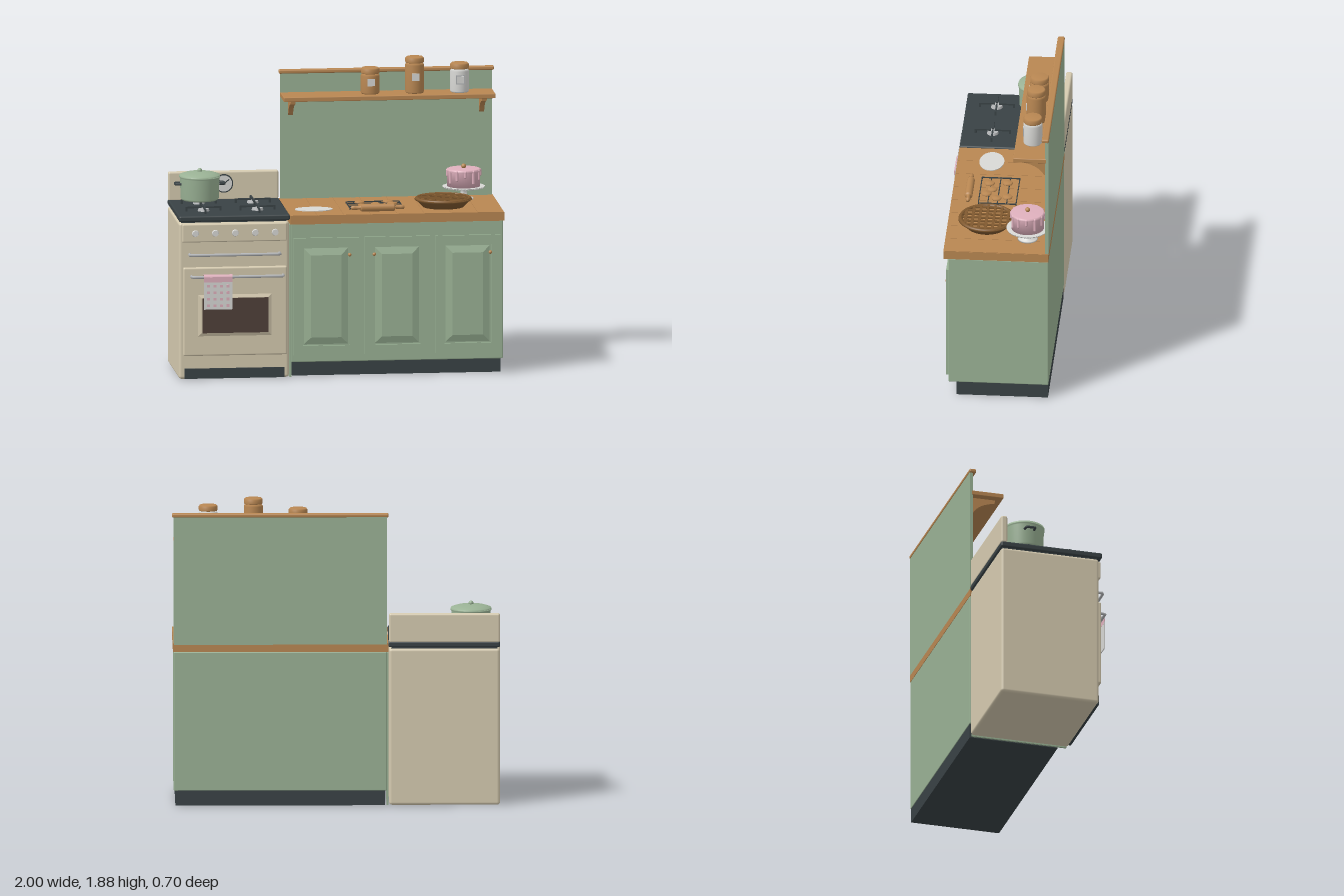
import * as THREE from 'three';
import { RoundedBoxGeometry } from 'three/addons/geometries/RoundedBoxGeometry.js';

const mat = (name, color) => {
  const m = new THREE.MeshStandardMaterial({ color });
  m.name = name;
  return m;
};

export function createModel() {
  const root = new THREE.Group();
  root.name = 'kitchen';
  const green = mat('sage green', 0x9ab295), cream = mat('cream enamel', 0xd6cbb0);
  const dark = mat('charcoal', 0x394245), wood = mat('warm wood', 0xb98752);
  const white = mat('off white', 0xd8d8d5), pink = mat('pink', 0xdfb0bd);
  const brown = mat('dark brown', 0x50403a), crust = mat('baked crust', 0x80592f);
  const steel = mat('steel', 0xb4b6b8);

  const group = (name, parent = root) => {
    const g = new THREE.Group();
    g.name = name;
    parent.add(g);
    return g;
  };
  const add = (parent, name, geo, m, x = 0, y = 0, z = 0) => {
    const mesh = new THREE.Mesh(geo, m);
    mesh.name = name;
    mesh.position.set(x, y, z);
    parent.add(mesh);
    return mesh;
  };
  // box from its extents; r rounds the edges
  const box = (parent, name, m, x0, x1, y0, y1, z0, z1, r = 0) => {
    const s = [x1 - x0, y1 - y0, z1 - z0];
    const geo = r ? new RoundedBoxGeometry(...s, 2, r) : new THREE.BoxGeometry(...s);
    return add(parent, name, geo, m, (x0 + x1) / 2, (y0 + y1) / 2, (z0 + z1) / 2);
  };
  // box whose front face is drawn in by an inset
  const bevelled = (parent, name, m, x0, x1, y0, y1, z0, z1, inset) => {
    const mesh = box(parent, name, m, x0, x1, y0, y1, z0, z1);
    const p = mesh.geometry.attributes.position;
    for (let i = 0; i < p.count; i++) if (p.getZ(i) > 0) {
      p.setX(i, p.getX(i) - Math.sign(p.getX(i)) * inset);
      p.setY(i, p.getY(i) - Math.sign(p.getY(i)) * inset);
    }
    mesh.geometry.computeVertexNormals();
    return mesh;
  };
  const cyl = (parent, name, m, r0, r1, h, x, y, z, n = 32) =>
    add(parent, name, new THREE.CylinderGeometry(r1, r0, h, n), m, x, y, z);
  const lathe = (parent, name, m, pts, x, y, z, n = 40) =>
    add(parent, name, new THREE.LatheGeometry(pts.map(p => new THREE.Vector2(...p)), n), m, x, y, z);
  const ball = (parent, name, m, r, x, y, z) =>
    add(parent, name, new THREE.SphereGeometry(r, 20, 12), m, x, y, z);
  const tube = (parent, name, m, pts, r) => add(parent, name, new THREE.TubeGeometry(
    new THREE.CatmullRomCurve3(pts.map(p => new THREE.Vector3(...p)), false, 'catmullrom', 0.1), 32, r, 8), m);

  // Stove
  const stove = group('stove');
  box(stove, 'stoveBody', cream, -1, -0.325, 0, 0.965, -0.35, 0.27, 0.018);
  box(stove, 'stoveKick', dark, -0.965, -0.355, 0.003, 0.065, 0.25, 0.278);
  box(stove, 'cooktop', dark, -1, -0.322, 0.972, 1.008, -0.35, 0.29, 0.01);
  box(stove, 'cooktopNeck', dark, -0.985, -0.34, 0.95, 0.98, -0.34, 0.26);
  box(stove, 'backguard', cream, -1, -0.325, 1.0, 1.18, -0.35, -0.31, 0.012);
  box(stove, 'controlPanel', cream, -0.98, -0.34, 0.845, 0.957, 0.25, 0.285, 0.008);
  for (let i = 0; i < 5; i++)
    cyl(stove, 'controlKnob', white, 0.022, 0.018, 0.016, -0.9 + i * 0.122, 0.9, 0.29, 20).rotation.x = Math.PI / 2;
  box(stove, 'ovenDoor', cream, -0.975, -0.34, 0.145, 0.69, 0.25, 0.292, 0.01);
  bevelled(stove, 'windowFrame', cream, -0.89, -0.43, 0.262, 0.528, 0.29, 0.3, 0.025);
  box(stove, 'ovenWindow', brown, -0.86, -0.455, 0.287, 0.502, 0.296, 0.303);
  const rail = (name, y, z, x0, x1) => tube(stove, name, steel,
    [[x0, y, 0.27], [x0, y, z - 0.01], [x0 + 0.012, y, z], [x1 - 0.012, y, z], [x1, y, z - 0.01], [x1, y, 0.27]], 0.009);
  rail('upperRail', 0.77, 0.315, -0.935, -0.385);
  rail('ovenHandle', 0.637, 0.33, -0.925, -0.365);

  // Towel folded over the oven handle
  const towel = group('towel', stove);
  box(towel, 'towelFront', white, -0.855, -0.68, 0.44, 0.62, 0.342, 0.348);
  box(towel, 'towelBack', white, -0.85, -0.685, 0.54, 0.62, 0.312, 0.318);
  const fold = add(towel, 'towelFold', new THREE.CylinderGeometry(0.018, 0.018, 0.175, 20, 1, true, 0, Math.PI),
    pink, -0.7675, 0.635, 0.33);
  fold.rotation.z = Math.PI / 2;
  fold.material = pink.clone();
  fold.material.side = THREE.DoubleSide;
  box(towel, 'towelBand', pink, -0.855, -0.68, 0.608, 0.64, 0.341, 0.349);
  box(towel, 'towelBandBack', pink, -0.85, -0.685, 0.608, 0.64, 0.311, 0.317);
  for (let i = 0; i < 4; i++) for (let j = 0; j < 4; j++)
    box(towel, 'towelCheck', pink, -0.838 + i * 0.04, -0.82 + i * 0.04, 0.456 + j * 0.04, 0.472 + j * 0.04, 0.347, 0.35);

  // Burners with cross grates
  for (const x of [-0.83, -0.5]) for (const z of [-0.16, 0.1]) {
    const b = group('burner', stove);
    b.position.set(x, 1.008, z);
    cyl(b, 'burnerCap', steel, 0.036, 0.032, 0.014, 0, 0.007, 0, 24);
    for (let k = 0; k < 4; k++) {
      const arm = group('grateArm', b);
      arm.rotation.y = k * Math.PI / 2;
      box(arm, 'grateBar', dark, 0.012, 0.11, 0.018, 0.028, -0.005, 0.005);
      box(arm, 'grateFoot', dark, 0.098, 0.11, 0, 0.026, -0.006, 0.006);
    }
  }

  // Clock on the backguard
  const clock = group('clock', stove);
  clock.position.set(-0.66, 1.105, -0.31);
  cyl(clock, 'clockRim', dark, 0.057, 0.057, 0.012, 0, 0, 0).rotation.x = Math.PI / 2;
  cyl(clock, 'clockFace', white, 0.05, 0.05, 0.008, 0, 0, 0.004).rotation.x = Math.PI / 2;
  for (const [a, l] of [[0.95, 0.034], [-0.9, 0.04]]) {
    const hand = box(clock, 'clockHand', dark, -0.003, 0.003, 0, l, 0.008, 0.011);
    hand.position.set(-Math.sin(a) * l / 2, Math.cos(a) * l / 2, 0.0095);
    hand.rotation.z = a;
  }

  // Cooking pot
  const pot = group('pot');
  pot.position.set(-0.825, 1.035, -0.155);
  lathe(pot, 'potBody', green, [[0, 0], [0.108, 0], [0.117, 0.012], [0.12, 0.135], [0.125, 0.14], [0.125, 0.147], [0, 0.147]], 0, 0, 0);
  lathe(pot, 'potLid', green, [[0.125, 0.147], [0.122, 0.155], [0.09, 0.166], [0.04, 0.173], [0, 0.174]], 0, 0, 0);
  ball(pot, 'lidKnob', green, 0.015, 0, 0.18, 0);
  for (const s of [-1, 1])
    tube(pot, 'potHandle', dark, [[s * 0.115, 0.1, -0.03], [s * 0.148, 0.1, -0.026], [s * 0.148, 0.1, 0.026], [s * 0.115, 0.1, 0.03]], 0.008);

  // Base cabinet and doors
  const cabinet = group('cabinet');
  box(cabinet, 'cabinetBody', green, -0.312, 0.985, 0.09, 0.945, -0.35, 0.26, 0.006);
  box(cabinet, 'cabinetKick', dark, -0.3, 0.975, 0, 0.095, -0.347, 0.21);
  box(cabinet, 'endFiller', green, -0.322, -0.31, 0, 0.94, -0.34, 0.26);
  for (const [x0, x1, knob] of [[-0.297, 0.103, 0.046], [0.138, 0.537, 0.196], [0.57, 0.97, 0.907]]) {
    const s = new THREE.Shape([[x0, 0.133], [x1, 0.133], [x1, 0.857], [x0, 0.857]].map(p => new THREE.Vector2(...p)));
    s.holes.push(new THREE.Path([[x0 + 0.055, 0.192], [x0 + 0.055, 0.8], [x1 - 0.058, 0.8], [x1 - 0.058, 0.192]]
      .map(p => new THREE.Vector2(...p))));
    add(cabinet, 'doorFrame', new THREE.ExtrudeGeometry(s, { depth: 0.016, bevelEnabled: false }), green, 0, 0, 0.259);
    bevelled(cabinet, 'doorPanel', green, x0 + 0.06, x1 - 0.063, 0.197, 0.795, 0.259, 0.274, 0.045);
    ball(cabinet, 'doorKnob', wood, 0.011, knob, 0.75, 0.272);
  }

  // Plank countertop
  const counter = group('countertop');
  box(counter, 'counterCore', wood, -0.32, 0.99, 0.945, 0.997, -0.35, 0.288);
  for (let i = 0; i < 8; i++) {
    const x = -0.32 + i * 1.31 / 8;
    box(counter, 'counterPlank', wood, x + 0.0015, x + 1.31 / 8 - 0.0015, 0.945, 1.0, -0.349, 0.29);
  }

  // Backsplash, cap rail, shelf and brackets
  const wall = group('backsplash');
  box(wall, 'wallPanel', green, -0.312, 0.985, 0.99, 1.78, -0.35, -0.335);
  for (let i = 0; i < 6; i++) {
    const x = -0.312 + i * 1.297 / 6;
    box(wall, 'wallBoard', green, x + 0.002, x + 1.297 / 6 - 0.002, 0.995, 1.78, -0.34, -0.33);
  }
  box(wall, 'capRail', wood, -0.322, 0.995, 1.773, 1.797, -0.353, -0.31, 0.008);
  box(wall, 'shelf', wood, -0.312, 0.985, 1.628, 1.656, -0.349, -0.135, 0.004);
  const bracket = new THREE.Shape();
  bracket.moveTo(0.33, 1.515);
  bracket.lineTo(0.33, 1.63);
  bracket.lineTo(0.175, 1.63);
  bracket.lineTo(0.18, 1.605);
  bracket.quadraticCurveTo(0.28, 1.59, 0.315, 1.53);
  for (const x of [-0.25, 0.92]) {
    const geo = new THREE.ExtrudeGeometry(bracket, { depth: 0.03, bevelEnabled: false });
    add(wall, 'shelfBracket', geo, wood, x - 0.015, 0, 0).rotation.y = Math.PI / 2;
    geo.translate(0, 0, 0);
  }

  // Storage jars
  for (const [x, h, m, ly] of [[0.228, 0.16, wood, 0.075], [0.5, 0.222, wood, 0.103], [0.775, 0.18, white, 0.082]]) {
    const jar = group('jar');
    jar.position.set(x, 1.656, -0.24);
    const b = h - 0.035;
    lathe(jar, 'jarBody', m, [[0, 0], [0.052, 0], [0.058, 0.008], [0.058, b - 0.015], [0.05, b], [0, b]], 0, 0, 0);
    lathe(jar, 'jarLid', wood, [[0, b], [0.055, b], [0.057, b + 0.004], [0.057, h - 0.008], [0.05, h], [0, h]], 0, 0, 0);
    if (m === white) box(jar, 'labelBorder', steel, -0.028, 0.028, ly - 0.028, ly + 0.028, 0.052, 0.058);
    box(jar, 'jarLabel', white, -0.022, 0.022, ly - 0.022, ly + 0.022, 0.053, 0.06);
  }

  // Cake on a stand
  const cake = group('cake');
  cake.position.set(0.797, 1.0, -0.21);
  lathe(cake, 'cakeStand', white, [[0, 0], [0.062, 0], [0.058, 0.008], [0.022, 0.02], [0.018, 0.055], [0.04, 0.066],
    [0.125, 0.07], [0.13, 0.079], [0, 0.079]], 0, 0, 0);
  lathe(cake, 'cakeBody', pink, [[0, 0.079], [0.1, 0.079], [0.1, 0.17], [0.105, 0.172], [0.103, 0.184], [0.095, 0.188], [0, 0.19]], 0, 0, 0);
  for (let i = 0; i < 12; i++) {
    const a = i * Math.PI / 6, l = 0.03 + 0.02 * ((i * 5) % 3);
    add(cake, 'icingDrip', new THREE.CapsuleGeometry(0.009, l, 4, 10), pink, Math.sin(a) * 0.1, 0.177 - l / 2, Math.cos(a) * 0.1);
  }
  ball(cake, 'cakeCherry', wood, 0.015, 0, 0.201, 0);

  // Lattice pie
  const pie = group('pie');
  pie.position.set(0.643, 1.0, 0.05);
  lathe(pie, 'pieDish', crust, [[0, 0], [0.125, 0], [0.165, 0.04], [0.175, 0.045], [0.172, 0.052], [0.15, 0.05], [0.145, 0.044]], 0, 0, 0);
  cyl(pie, 'pieFilling', wood, 0.14, 0.15, 0.01, 0, 0.04, 0);
  const rim = add(pie, 'pieRim', new THREE.TorusGeometry(0.16, 0.012, 10, 48), crust, 0, 0.048, 0);
  rim.rotation.x = Math.PI / 2;
  for (let i = -3; i <= 3; i++) {
    const t = i * 0.043, l = Math.sqrt(0.155 ** 2 - t * t);
    box(pie, 'latticeLong', crust, t - 0.008, t + 0.008, 0.043, 0.054, -l, l);
    box(pie, 'latticeCross', crust, -l, l, 0.043, 0.057, t - 0.008, t + 0.008);
  }

  // Rolling pin
  const pin = group('rollingPin');
  pin.position.set(0.227, 1.024, 0.186);
  pin.rotation.z = Math.PI / 2;
  lathe(pin, 'pinBody', wood, [[0, -0.165], [0.012, -0.16], [0.014, -0.14], [0.01, -0.106], [0.021, -0.104], [0.024, -0.095],
    [0.024, 0.095], [0.021, 0.104], [0.01, 0.106], [0.014, 0.14], [0.012, 0.16], [0, 0.165]], 0, 0, 0, 24);

  // Cooling rack with cookies
  const rack = group('coolingRack');
  for (let i = 0; i < 5; i++) {
    const z = -0.108 + i * 0.0575;
    box(rack, 'rackWire', dark, 0.062, 0.392, 1.008, 1.014, z - 0.003, z + 0.003);
  }
  for (const x of [0.065, 0.389]) {
    box(rack, 'rackEnd', dark, x - 0.003, x + 0.003, 1.007, 1.013, -0.11, 0.125);
    for (const z of [-0.108, 0.122]) box(rack, 'rackFoot', dark, x - 0.003, x + 0.003, 1, 1.01, z - 0.003, z + 0.003);
  }
  for (const [x, z] of [[0.14, -0.04], [0.314, -0.05], [0.335, 0.015], [0.15, 0.07], [0.226, 0.05], [0.28, 0.08]])
    lathe(rack, 'cookie', wood, [[0, 0], [0.029, 0], [0.032, 0.005], [0.026, 0.012], [0, 0.015]], x, 1.014, z, 24);

  // Spilled flour
  cyl(root, 'flourPatch', white, 1, 1, 0.005, -0.153, 1.002, 0.08, 28).scale.set(0.115, 1, 0.076);

  return root;
}
